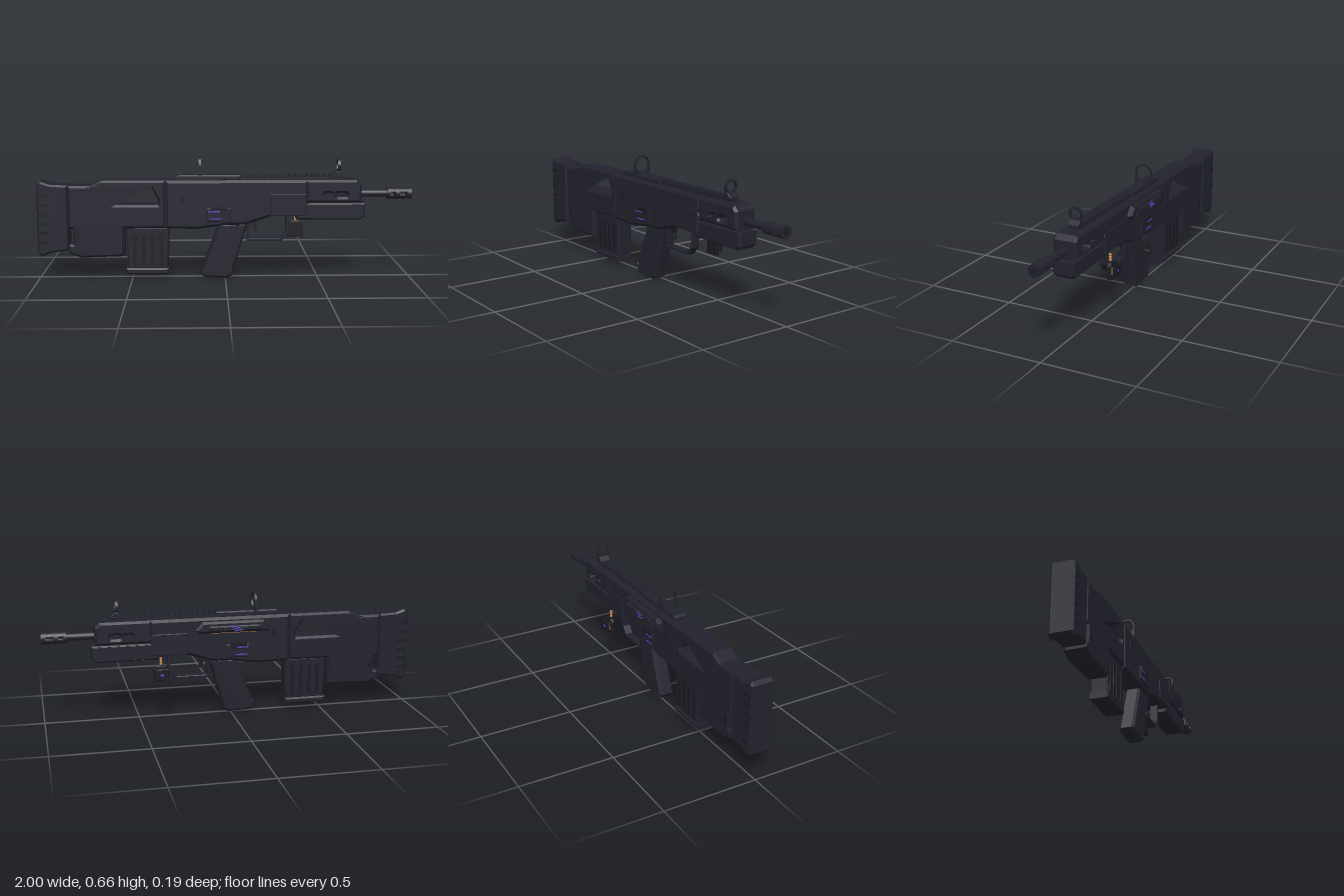
import * as THREE from 'three';

const paint = (name, color) => {
  const m = new THREE.MeshStandardMaterial({ color });
  m.name = name;
  return m;
};

export function createModel() {
  const body = paint('gunmetal', 0x21222d);
  const dark = paint('black polymer', 0x1a1a22);
  const violet = paint('violet glow', 0x5c48d0);
  const brass = paint('brass', 0xc07f3c);

  const model = new THREE.Group();
  model.name = 'rifle';
  const gun = new THREE.Group();
  gun.name = 'rifleParts';
  gun.position.z = 0.02;
  model.add(gun);

  const add = (name, geo, mat, x = 0, y = 0, z = 0) => {
    const m = new THREE.Mesh(geo, mat);
    m.name = name;
    m.position.set(x, y, z);
    gun.add(m);
    return m;
  };
  // box given by its centre and size
  const box = (name, mat, x, y, z, w, h, d) => add(name, new THREE.BoxGeometry(w, h, d), mat, x, y, z);
  const toVec = (pts) => pts.map(([x, y]) => new THREE.Vector2(x, y));
  // side outline extruded across the width, with chamfered edges
  const slab = (name, mat, pts, half, bevel = 0.01, holes = [], z = 0) => {
    const s = new THREE.Shape(toVec(pts));
    holes.forEach((h) => s.holes.push(h instanceof THREE.Path ? h : new THREE.Path(toVec(h))));
    const geo = new THREE.ExtrudeGeometry(s, {
      depth: 2 * (half - bevel), bevelEnabled: bevel > 0, bevelSize: bevel,
      bevelThickness: bevel, bevelOffset: -bevel, bevelSegments: 1, curveSegments: 8,
    });
    geo.translate(0, 0, bevel - half);
    return add(name, geo, mat, 0, 0, z);
  };
  const rect = (x0, y0, x1, y1) => [[x0, y0], [x1, y0], [x1, y1], [x0, y1]];
  const pill = (x0, x1, y, r) => {
    const p = new THREE.Path();
    p.absarc(x1 - r, y, r, -Math.PI / 2, Math.PI / 2);
    p.absarc(x0 + r, y, r, Math.PI / 2, Math.PI * 1.5);
    return p;
  };
  const rod = (name, mat, x0, x1, y, r, sides = 20) => {
    const geo = new THREE.CylinderGeometry(r, r, x1 - x0, sides);
    geo.rotateZ(Math.PI / 2);
    return add(name, geo, mat, (x0 + x1) / 2, y, 0);
  };

  // butt pad with rear ribs
  slab('buttPad', body, [[-1, 0.155], [-0.98, 0.132], [-0.93, 0.155], [-0.835, 0.165], [-0.835, 0.515],
    [-0.93, 0.52], [-0.98, 0.537], [-1, 0.522]], 0.062, 0.01);
  for (let i = 0; i < 6; i++) {
    for (const s of [-1, 1]) box('buttRib', dark, -0.965, 0.21 + i * 0.05, s * 0.0615, 0.05, 0.014, 0.004);
  }

  // stock with open window and a notch behind the butt pad
  slab('stock', body, [[-0.835, 0.15], [-0.77, 0.125], [-0.54, 0.132], [-0.54, 0.283], [-0.32, 0.285],
    [-0.32, 0.54], [-0.66, 0.54], [-0.72, 0.512], [-0.835, 0.512], [-0.835, 0.285], [-0.812, 0.28],
    [-0.812, 0.198], [-0.835, 0.195]], 0.059, 0.012,
  [[[-0.72, 0.43], [-0.70, 0.41], [-0.36, 0.41], [-0.355, 0.43], [-0.39, 0.497], [-0.72, 0.497]]]);

  // receiver
  slab('receiver', body, [[-0.32, 0.283], [-0.15, 0.278], [0.01, 0.3], [0.1, 0.3], [0.25, 0.347],
    [0.44, 0.347], [0.44, 0.54], [-0.32, 0.54]], 0.061, 0.014);
  for (const s of [-1, 1]) {
    box('receiverSeam', dark, -0.32, 0.41, s * 0.06, 0.006, 0.22, 0.004);
    box('ejectorLatch', dark, -0.23, 0.44, s * 0.062, 0.022, 0.042, 0.006);
    box('stockPin', dark, -0.79, 0.24, s * 0.059, 0.02, 0.05, 0.005);
    slab('frontPanel', body, rect(0.24, 0.35, 0.43, 0.465), 0.004, 0.003, [], s * 0.063);
    // side panel with glowing strokes
    slab('selectorPanel', body, rect(-0.1, 0.32, 0.03, 0.392), 0.006, 0.004, [], s * 0.063);
    box('selectorCap', dark, -0.035, 0.383, s * 0.07, 0.09, 0.036, 0.005);
    box('glowStroke', violet, -0.06, 0.375, s * 0.0725, 0.06, 0.006, 0.002);
    box('glowStroke', violet, -0.055, 0.335, s * 0.0695, 0.06, 0.006, 0.002);
  }

  // upper handguard with through slots
  slab('upperHandguard', body, [[0.43, 0.42], [0.725, 0.42], [0.725, 0.515], [0.7, 0.54], [0.43, 0.54]],
    0.063, 0.012, [[0.44, 0.5], [0.526, 0.572], [0.59, 0.65]].map(([a, b]) => pill(a, b, 0.46, 0.011)));

  // lower handguard frame, core and glowing vein
  slab('lowerHandguard', body, [[0.38, 0.328], [0.72, 0.325], [0.745, 0.345], [0.745, 0.415], [0.41, 0.415],
    [0.38, 0.36]], 0.056, 0.008, [[[0.45, 0.342], [0.705, 0.342], [0.716, 0.352], [0.716, 0.402], [0.45, 0.402]]]);
  slab('core', dark, [[0.445, 0.368], [0.52, 0.362], [0.64, 0.37], [0.72, 0.375], [0.72, 0.39],
    [0.58, 0.397], [0.52, 0.39], [0.445, 0.402]], 0.046, 0.006);
  for (const s of [-1, 1]) {
    slab('glowVein', violet, [[0.45, 0.376], [0.52, 0.37], [0.55, 0.38], [0.64, 0.378], [0.71, 0.383],
      [0.6, 0.389], [0.53, 0.386], [0.5, 0.379]], 0.002, 0, [], s * 0.048);
  }

  // barrel and ported muzzle brake
  rod('barrel', body, 0.7, 0.88, 0.462, 0.02);
  for (const [a, b] of [[0.87, 0.885], [0.912, 0.935], [0.975, 1]]) rod('muzzleCollar', body, a, b, 0.462, 0.032);
  rod('bore', dark, 0.99, 1.0, 0.462, 0.016).scale.x = 1.02;
  for (const s of [-1, 1]) {
    const arc = new THREE.Shape();
    const a = 0.42;
    arc.absarc(0, 0, 0.031, a, Math.PI - a);
    arc.absarc(0, 0, 0.02, Math.PI - a - 0.25, a + 0.25, true);
    const geo = new THREE.ExtrudeGeometry(arc, { depth: 0.11, bevelEnabled: false });
    geo.rotateY(Math.PI / 2);
    if (s < 0) geo.rotateX(Math.PI);
    add('muzzleStrip', geo, body, 0.875, 0.462, 0);
  }

  // top rail
  slab('rearRail', body, [[-0.27, 0.535], [0.08, 0.535], [0.08, 0.565], [-0.255, 0.565], [-0.27, 0.555]], 0.034, 0.006);
  box('railBase', body, 0.35, 0.544, 0, 0.56, 0.016, 0.05);
  for (let i = 0; i < 17; i++) box('railTooth', body, 0.1 + i * 0.031, 0.556, 0, 0.018, 0.016, 0.056);

  // rear ring sight, an arched plate facing along the barrel
  const arch = new THREE.Shape();
  arch.moveTo(0.05, 0.545);
  arch.lineTo(0.05, 0.613);
  arch.absarc(0, 0.613, 0.05, 0, Math.PI);
  arch.lineTo(-0.05, 0.545);
  const ringHole = new THREE.Path();
  ringHole.absarc(0, 0.613, 0.042, 0, Math.PI * 2, true);
  arch.holes.push(ringHole);
  const archGeo = new THREE.ExtrudeGeometry(arch, { depth: 0.012, bevelEnabled: false, curveSegments: 24 });
  archGeo.rotateY(Math.PI / 2);
  add('rearSight', archGeo, body, -0.141, 0, 0);

  // front ring sight with post
  const hoop = new THREE.Shape();
  hoop.absarc(0, 0, 0.036, 0, Math.PI * 2);
  const hoopHole = new THREE.Path();
  hoopHole.absarc(0, 0, 0.028, 0, Math.PI * 2, true);
  hoop.holes.push(hoopHole);
  const hoopGeo = new THREE.ExtrudeGeometry(hoop, { depth: 0.016, bevelEnabled: false, curveSegments: 20 });
  hoopGeo.rotateY(Math.PI / 2);
  add('frontSightRing', hoopGeo, body, 0.599, 0.613, 0);
  slab('frontSightBase', body, [[0.575, 0.55], [0.64, 0.55], [0.64, 0.565], [0.617, 0.585], [0.598, 0.585],
    [0.575, 0.565]], 0.03, 0.003);
  add('frontSightPost', new THREE.ConeGeometry(0.006, 0.036, 10), body, 0.607, 0.6, 0);

  // magazine with ribs and base plate
  slab('magazine', body, [[-0.522, 0.06], [-0.307, 0.06], [-0.298, 0.29], [-0.532, 0.29]], 0.046, 0.008);
  slab('magazineBase', body, rect(-0.532, 0.032, -0.302, 0.065), 0.052, 0.008);
  for (const s of [-1, 1]) {
    for (let i = 0; i < 4; i++) box('magazineRib', dark, -0.485 + i * 0.047, 0.165, s * 0.046, 0.022, 0.17, 0.006);
  }

  // skeleton grip
  slab('grip', body, [[-0.135, 0.035], [-0.115, 0.012], [0.01, 0.005], [0.038, 0.02], [0.045, 0.055],
    [0.118, 0.305], [-0.035, 0.305]], 0.041, 0.012,
  [[[-0.108, 0.07], [-0.09, 0.05], [-0.005, 0.045], [0.016, 0.065], [0.08, 0.285], [0.0, 0.29], [-0.02, 0.27]]]);

  // trigger guard and trigger
  slab('triggerGuard', body, [[0.115, 0.205], [0.302, 0.205], [0.342, 0.25], [0.342, 0.35], [0.325, 0.35],
    [0.325, 0.257], [0.295, 0.219], [0.129, 0.219], [0.129, 0.32], [0.115, 0.32]], 0.022, 0.003);
  slab('trigger', dark, [[0.135, 0.315], [0.175, 0.325], [0.162, 0.29], [0.172, 0.262], [0.16, 0.255],
    [0.148, 0.285]], 0.012, 0.002);

  // side handle plate on the far side, with knob bar, brass edge and glowing mark
  slab('handlePlate', body, [[-0.2, 0.462], [0.18, 0.462], [0.2, 0.48], [0.16, 0.524], [-0.17, 0.524],
    [-0.2, 0.505]], 0.018, 0.012, [], -0.074);
  slab('handleBar', body, rect(-0.15, 0.474, 0.13, 0.502), 0.01, 0.006, [], -0.095);
  box('brassEdge', brass, -0.01, 0.461, -0.072, 0.24, 0.004, 0.012);
  for (let i = 0; i < 3; i++) {
    const mark = box('glowMark', violet, -0.03 + i * 0.012, 0.478 + i * 0.01, -0.1055, 0.045 - i * 0.008, 0.006, 0.002);
    mark.rotation.z = -0.2;
  }

  // hanging charm: beads, layered tag
  for (let i = 0; i < 3; i++) {
    add('charmBead', new THREE.SphereGeometry(0.008, 10, 8), brass, 0.385, 0.335 - i * 0.014, -0.068);
  }
  slab('charmBack', dark, [[0.345, 0.212], [0.425, 0.212], [0.425, 0.285], [0.41, 0.3], [0.36, 0.3],
    [0.345, 0.285]], 0.0105, 0.003, [], -0.0775);
  box('charmBrass', brass, 0.385, 0.256, -0.0915, 0.05, 0.04, 0.009);
  slab('charmFront', dark, rect(0.352, 0.225, 0.418, 0.287), 0.0085, 0.003, [], -0.1035);
  box('charmGlow', violet, 0.385, 0.256, -0.112, 0.02, 0.012, 0.001);

  return model;
}
